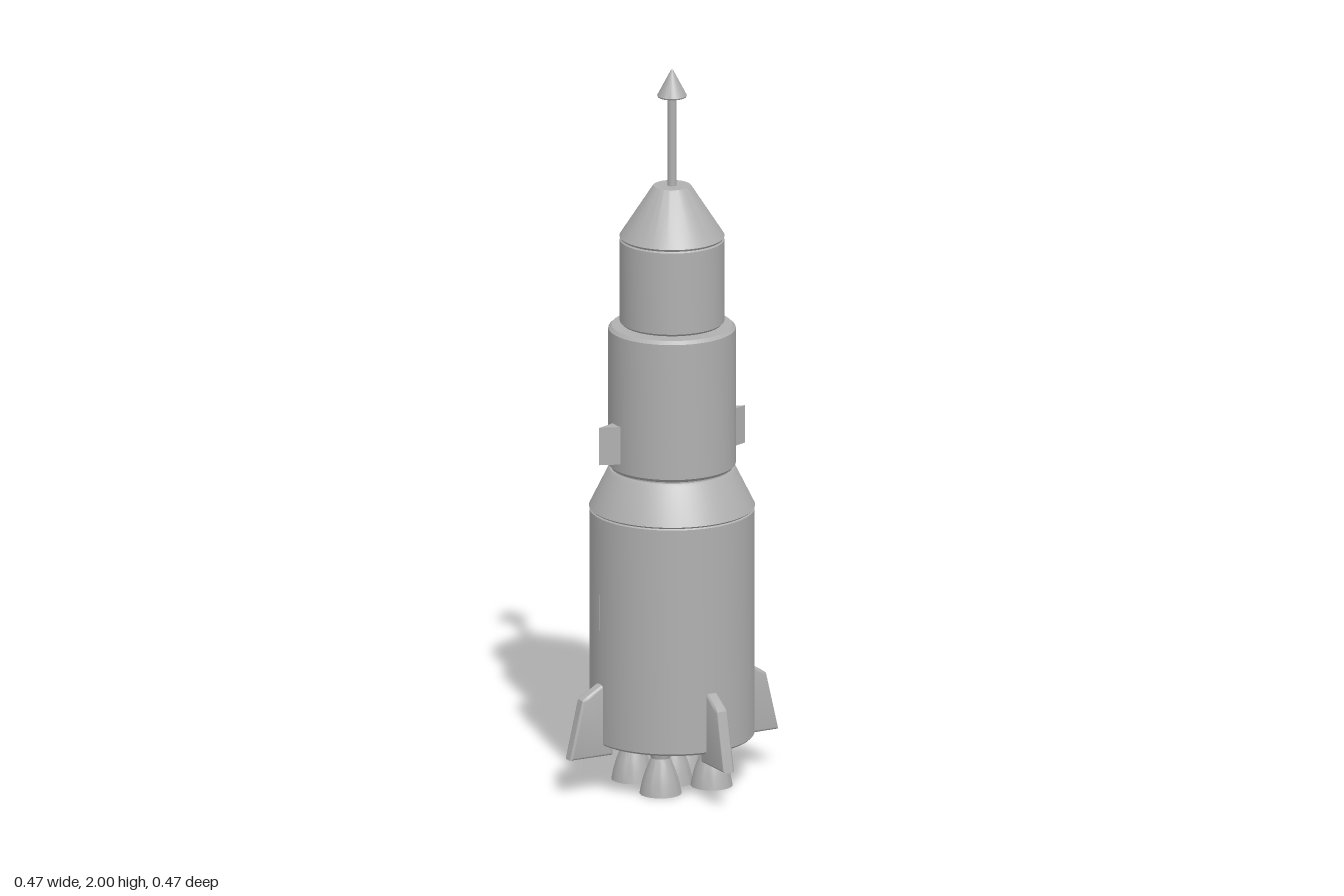
import * as THREE from 'three';
import { toCreasedNormals } from 'three/addons/utils/BufferGeometryUtils.js';

export function createModel() {
  const model = new THREE.Group();
  const grey = new THREE.MeshStandardMaterial({ color: 0xb0b0b0 });
  grey.name = 'hull grey';

  const add = (name, geometry, parent = model) => {
    const mesh = new THREE.Mesh(geometry, grey);
    mesh.name = name;
    parent.add(mesh);
    return mesh;
  };
  // Turned part from [radius, height] pairs, bottom to top
  const turned = (points, sides = 64) => toCreasedNormals(
    new THREE.LatheGeometry(points.map(([r, y]) => new THREE.Vector2(r, y)), sides), 0.5);
  // Closed cylinder or cone frustum with small chamfers at both ends
  const stage = (name, r0, y0, r1, y1, b = 0.008) => add(name, turned([
    [0, y0], [r0 - b, y0], [r0, y0 + b], [r1, y1 - b], [r1 - b, y1], [0, y1]]));

  // Stacked stages
  stage('lowerStage', 0.223, 0.135, 0.223, 0.776, 0.006);
  stage('lowerShoulder', 0.224, 0.772, 0.174, 0.885, 0.006);
  add('stageCollar', new THREE.CylinderGeometry(0.163, 0.163, 0.03, 64)).position.y = 0.887;
  stage('middleStage', 0.172, 0.888, 0.172, 1.285, 0.009);
  stage('upperStage', 0.141, 1.29, 0.141, 1.53, 0.006);
  add('noseCone', turned([[0, 1.528], [0.138, 1.528], [0.142, 1.534], [0.053, 1.672], [0.05, 1.675], [0, 1.675]]));

  // Escape mast and its pointed tip
  add('mast', new THREE.CylinderGeometry(0.012, 0.012, 0.26, 24)).position.y = 1.8;
  add('mastTip', turned([[0, 1.924], [0.038, 1.924], [0.04, 1.928], [0.003, 1.999], [0, 2]], 32));

  // Five engines with hollow bells
  const bell = turned([
    [0, 0.075], [0.022, 0.07], [0.038, 0.04], [0.052, 0], [0.057, 0], [0.051, 0.03], [0.042, 0.06],
    [0.03, 0.09], [0.026, 0.1], [0.03, 0.115], [0.031, 0.14], [0, 0.14]], 32);
  const engines = new THREE.Group();
  engines.name = 'engines';
  model.add(engines);
  for (const [x, z] of [[0, 0], [1, 0], [-1, 0], [0, 1], [0, -1]]) {
    add('engine', bell, engines).position.set(x * 0.111, 0, z * 0.111);
  }

  // Four swept fins on the diagonals, with rounded edges
  const bevel = 0.008;
  const outline = new THREE.Shape([
    [0.198, 0.113], [0.312, 0.113], [0.276, 0.264], [0.262, 0.274], [0.222, 0.297], [0.198, 0.297],
  ].map(([x, y]) => new THREE.Vector2(x, y)));
  const finGeometry = toCreasedNormals(new THREE.ExtrudeGeometry(outline, {
    depth: 0.018, bevelEnabled: true, bevelSize: bevel, bevelThickness: bevel, bevelSegments: 3,
  }).translate(0, 0, -0.009), 0.6);
  for (let i = 0; i < 4; i++) {
    add('fin', finGeometry).rotation.y = Math.PI / 4 + i * Math.PI / 2;
  }

  // Wedges on two opposite diagonals: a prism with its sharp edge outward
  const wedge = (name, tip, y0, y1) => {
    const half = (tip - 0.14) * 0.4;
    const plan = new THREE.Shape([
      new THREE.Vector2(0.14, -half), new THREE.Vector2(tip, 0), new THREE.Vector2(0.14, half)]);
    const geometry = new THREE.ExtrudeGeometry(plan, { depth: y1 - y0, bevelEnabled: false })
      .rotateX(-Math.PI / 2).translate(0, y0, 0);
    for (const angle of [Math.PI / 4, Math.PI * 5 / 4]) add(name, geometry).rotation.y = angle;
  };
  wedge('middleWedge', 0.224, 0.92, 1.025);
  wedge('lowerWedge', 0.2245, 0.455, 0.555);

  return model;
}
